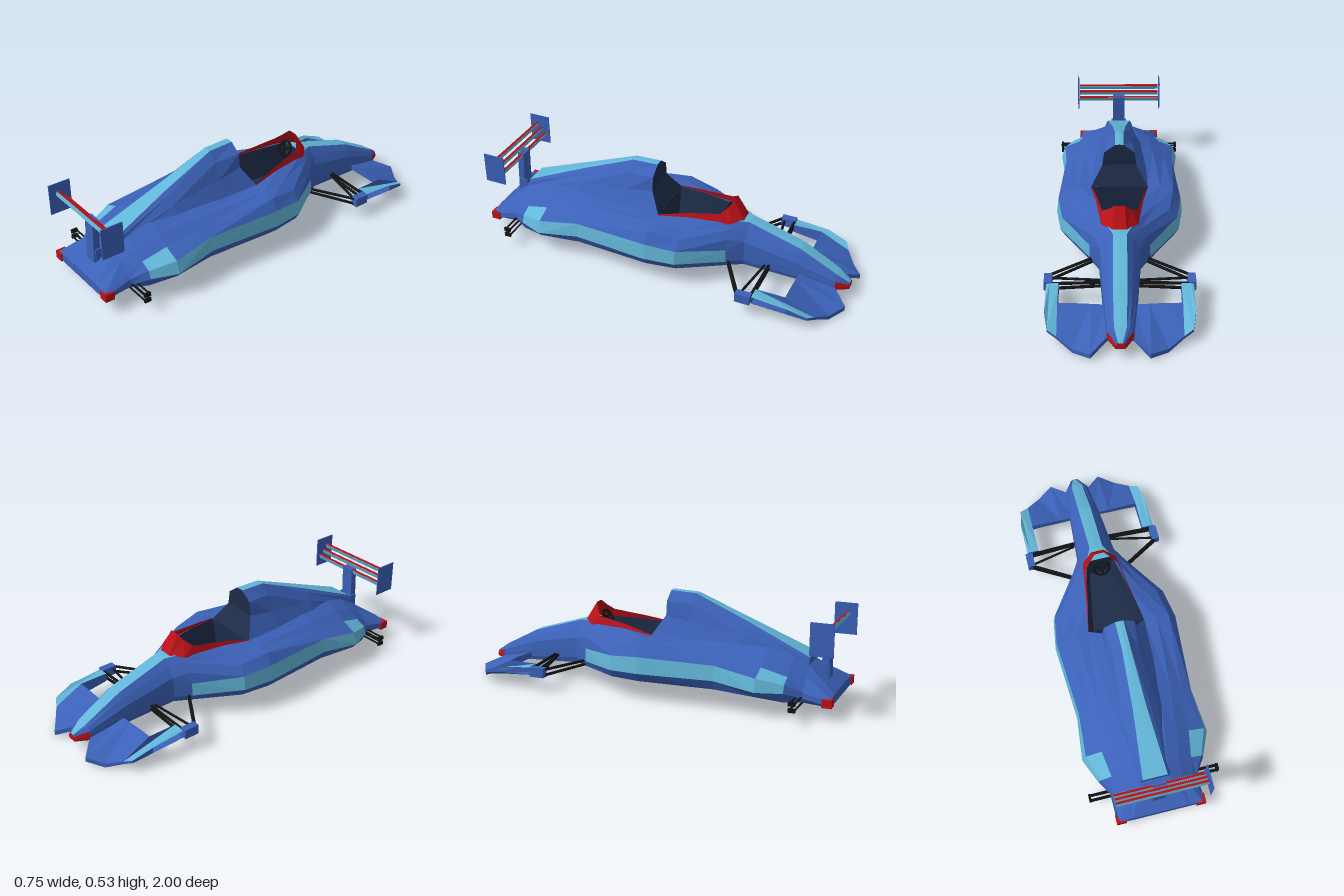
import * as THREE from 'three';

const mat = (color) => new THREE.MeshStandardMaterial({ color, flatShading: true, side: THREE.DoubleSide });
const blue = mat(0x3b61b8), light = mat(0x62b6d8), dark = mat(0x1e2c48), red = mat(0xbb1118), black = mat(0x111214);

// Skin between rows of points, mirrored in x; pick(i, j) gives each panel its material
function skin(parent, name, rows, pick) {
  const lists = new Map();
  for (let i = 0; i < rows.length - 1; i++) {
    for (let j = 0; j < rows[i].length - 1; j++) {
      const m = pick(i, j);
      if (!m) continue;
      if (!lists.has(m)) lists.set(m, []);
      const a = rows[i][j], b = rows[i][j + 1], c = rows[i + 1][j], d = rows[i + 1][j + 1];
      for (const t of [[a, b, c], [b, d, c]]) {
        for (const p of t) lists.get(m).push(...p);
        for (const p of [t[0], t[2], t[1]]) lists.get(m).push(-p[0], p[1], p[2]);
      }
    }
  }
  const group = new THREE.Group();
  group.name = name;
  for (const [m, list] of lists) {
    const g = new THREE.BufferGeometry();
    g.setAttribute('position', new THREE.Float32BufferAttribute(list, 3));
    g.computeVertexNormals();
    const mesh = new THREE.Mesh(g, m);
    mesh.name = name + 'Panel';
    group.add(mesh);
  }
  parent.add(group);
}

const toCentre = (row) => row.map(([, y, z]) => [0, y, z]);

function box(parent, name, m, size, pos, tilt = 0) {
  const mesh = new THREE.Mesh(new THREE.BoxGeometry(...size), m);
  mesh.name = name;
  mesh.position.set(...pos);
  mesh.rotation.x = tilt;
  parent.add(mesh);
}

function rod(parent, name, a, b, r) {
  const p = new THREE.Vector3(...a), q = new THREE.Vector3(...b);
  const dir = q.clone().sub(p);
  const mesh = new THREE.Mesh(new THREE.CylinderGeometry(r, r, dir.length(), 6), black);
  mesh.name = name;
  mesh.position.copy(p).add(q).multiplyScalar(0.5);
  mesh.quaternion.setFromUnitVectors(new THREE.Vector3(0, 1, 0), dir.normalize());
  parent.add(mesh);
}

// Half-section of the hull from the floor centre, round the side, to the top centre
function hullSection([z, floor, wide, stripeLow, stripeTop, shoulderX, shoulderY, edgeX, edgeY]) {
  return [
    [0, floor, z],
    [wide * 0.92, floor, z],
    [wide, stripeLow, z],
    [wide * 0.8 + shoulderX * 0.2, stripeTop, z],
    [shoulderX, shoulderY, z],
    [(shoulderX + edgeX) / 2, (shoulderY + edgeY) / 2 + 0.006, z],
    [edgeX, edgeY, z],
    [0, edgeY + 0.002, z],
  ];
}

export function createModel() {
  const car = new THREE.Group();
  car.name = 'raceCar';

  // Hull from nose to tail
  const hull = [
    [-0.985, 0.06, 0.025, 0.065, 0.075, 0.02, 0.085, 0.01, 0.09],
    [-0.92, 0.06, 0.065, 0.07, 0.09, 0.06, 0.11, 0.03, 0.135],
    [-0.72, 0.08, 0.085, 0.1, 0.14, 0.08, 0.18, 0.035, 0.24],
    [-0.44, 0.1, 0.105, 0.13, 0.18, 0.1, 0.24, 0.035, 0.325],
    [-0.36, 0.1, 0.155, 0.13, 0.2, 0.14, 0.26, 0.07, 0.335],
    [-0.14, 0.11, 0.31, 0.15, 0.225, 0.26, 0.27, 0.12, 0.325],
    [0.02, 0.11, 0.335, 0.155, 0.24, 0.285, 0.295, 0.15, 0.31],
    [0.42, 0.11, 0.31, 0.16, 0.235, 0.25, 0.26, 0.13, 0.31],
    [0.64, 0.105, 0.335, 0.135, 0.2, 0.23, 0.235, 0.1, 0.3],
    [0.77, 0.08, 0.28, 0.13, 0.17, 0.21, 0.195, 0.08, 0.265],
    [0.85, 0.075, 0.225, 0.1, 0.13, 0.2, 0.15, 0.08, 0.22],
    [0.99, 0.07, 0.235, 0.08, 0.1, 0.22, 0.11, 0.08, 0.115],
  ].map(hullSection);
  skin(car, 'hull', hull, (i, j) => {
    if (j === 6) return i < 4 ? light : i < 6 ? null : blue; // nose stripe, open cockpit
    if (i === 0 && j < 4) return red; // nose tip
    if (j === 2 && i > 3 && i < 9) return light; // side stripe
    if (j === 3 && (i === 7 || i === 8)) return i === 8 ? light : blue; // rear flare
    return blue;
  });
  skin(car, 'tail', [hull[11], toCentre(hull[11])], () => blue);
  skin(car, 'noseTip', [toCentre(hull[0]), hull[0]], () => red);

  // Cockpit tub
  const tub = hull.slice(4, 7).map((r) => {
    const [x, y, z] = r[6];
    return [[x, y, z], [x * 0.8, 0.16, z], [0, 0.16, z]];
  });
  skin(car, 'cockpitTub', tub, () => dark);
  for (const r of [tub[0], tub[2]]) skin(car, 'cockpitBulkhead', [r, toCentre(r)], () => dark);

  // Windscreen and cockpit rim
  skin(car, 'windscreen', [
    [[0.152, 0.308, 0.02], [0.122, 0.324, -0.14], [0.105, 0.31, -0.3], [0.09, 0.325, -0.36], [0.035, 0.33, -0.41], [0, 0.332, -0.41]],
    [[0.15, 0.316, 0.02], [0.115, 0.347, -0.14], [0.088, 0.37, -0.3], [0.055, 0.4, -0.33], [0.025, 0.43, -0.35], [0, 0.43, -0.35]],
  ], () => red);

  // Steering wheel
  const wheel = new THREE.Group();
  wheel.name = 'steeringWheel';
  const ring = new THREE.Mesh(new THREE.TorusGeometry(0.042, 0.007, 6, 16), black);
  ring.name = 'steeringRim';
  wheel.add(ring);
  for (const a of [0, 2.1, 4.2]) {
    rod(wheel, 'steeringSpoke', [0, 0, 0], [0.04 * Math.sin(a), -0.04 * Math.cos(a), 0], 0.006);
  }
  wheel.position.set(0, 0.345, -0.3);
  wheel.rotation.x = -0.5;
  car.add(wheel);

  // Engine cover with air intake and light spine
  const cover = [
    [[0.15, 0.31, 0.02], [0.09, 0.41, 0.08], [0.08, 0.485, 0.08], [0.022, 0.53, 0.08], [0, 0.532, 0.08]],
    [[0.15, 0.3, 0.22], [0.1, 0.39, 0.22], [0.065, 0.475, 0.22], [0.022, 0.525, 0.22], [0, 0.528, 0.22]],
    [[0.13, 0.29, 0.5], [0.095, 0.35, 0.5], [0.06, 0.39, 0.5], [0.035, 0.41, 0.5], [0, 0.412, 0.5]],
    [[0.09, 0.2, 0.84], [0.08, 0.23, 0.84], [0.072, 0.255, 0.84], [0.065, 0.265, 0.84], [0, 0.265, 0.84]],
  ];
  skin(car, 'engineCover', cover, (i, j) => (j === 3 ? light : blue));
  skin(car, 'headrest', [toCentre(cover[0]), cover[0]], () => dark);
  skin(car, 'coverEnd', [cover[3], toCentre(cover[3])], () => blue);

  // Front wing: x, leading z, upper and lower leading y, trailing z, upper and lower trailing y
  const wing = [
    [0.05, -0.915, 0.085, 0.055, -0.735, 0.12, 0.095],
    [0.065, -0.925, 0.075, 0.052, -0.735, 0.12, 0.095],
    [0.14, -1, 0.04, 0.015, -0.735, 0.125, 0.09],
    [0.225, -0.945, 0.025, 0.003, -0.735, 0.13, 0.09],
    [0.3, -0.89, 0.055, 0.04, -0.735, 0.13, 0.085],
    [0.3, -0.89, 0.055, 0.04, -0.58, 0.13, 0.085],
    [0.345, -0.865, 0.075, 0.06, -0.58, 0.13, 0.085],
    [0.362, -0.76, 0.11, 0.08, -0.58, 0.125, 0.085],
  ].map(([x, zl, yl, yb, zt, yt, yu]) => [[x, yl, zl], [x, yt, zt], [x, yu, zt], [x, yb, zl], [x, yl, zl]]);
  skin(car, 'frontWing', wing, (i, j) => (i > 4 && j === 0 ? light : blue));

  for (const s of [1, -1]) {
    // Front suspension and upright
    box(car, 'frontUpright', blue, [0.04, 0.05, 0.08], [s * 0.355, 0.105, -0.535]);
    for (const [y, dy] of [[0.12, 0.01], [0.09, 0.02]]) {
      rod(car, 'frontArm', [s * 0.35, y, -0.57], [s * 0.09, y + dy, -0.575], 0.008);
      rod(car, 'frontArm', [s * 0.35, y, -0.5], [s * 0.13, y + dy, -0.365], 0.008);
    }
    rod(car, 'steeringLink', [s * 0.35, 0.11, -0.51], [s * 0.1, 0.13, -0.555], 0.007);

    // Rear suspension stubs
    for (const y of [0.073, 0.105]) {
      for (const z of [0.82, 0.845]) rod(car, 'rearArm', [s * 0.2, y, z], [s * 0.34, y, z], 0.005);
      box(car, 'rearArmEnd', black, [0.012, 0.02, 0.035], [s * 0.34, y, 0.832]);
    }

    box(car, 'rearLight', red, [0.05, 0.042, 0.05], [s * 0.211, 0.091, 0.973]);
    box(car, 'rearWingEndPlate', blue, [0.005, 0.165, 0.118], [s * 0.24, 0.405, 0.94]);
    box(car, 'pillarFin', blue, [0.008, 0.07, 0.05], [s * 0.04, 0.2, 0.9]);
  }

  // Rear wing pillar and slats
  box(car, 'rearWingPillar', blue, [0.07, 0.25, 0.035], [0, 0.27, 0.912], -0.04);
  for (let i = 0; i < 3; i++) {
    const y = 0.381 + i * 0.0265, z = 0.905 + i * 0.025;
    box(car, 'rearWingSlat', light, [0.465, 0.021, 0.016], [0, y, z], -0.3);
    box(car, 'rearWingSlatEdge', red, [0.465, 0.004, 0.012], [0, y + 0.011, z - 0.003], -0.3);
  }
  return car;
}
